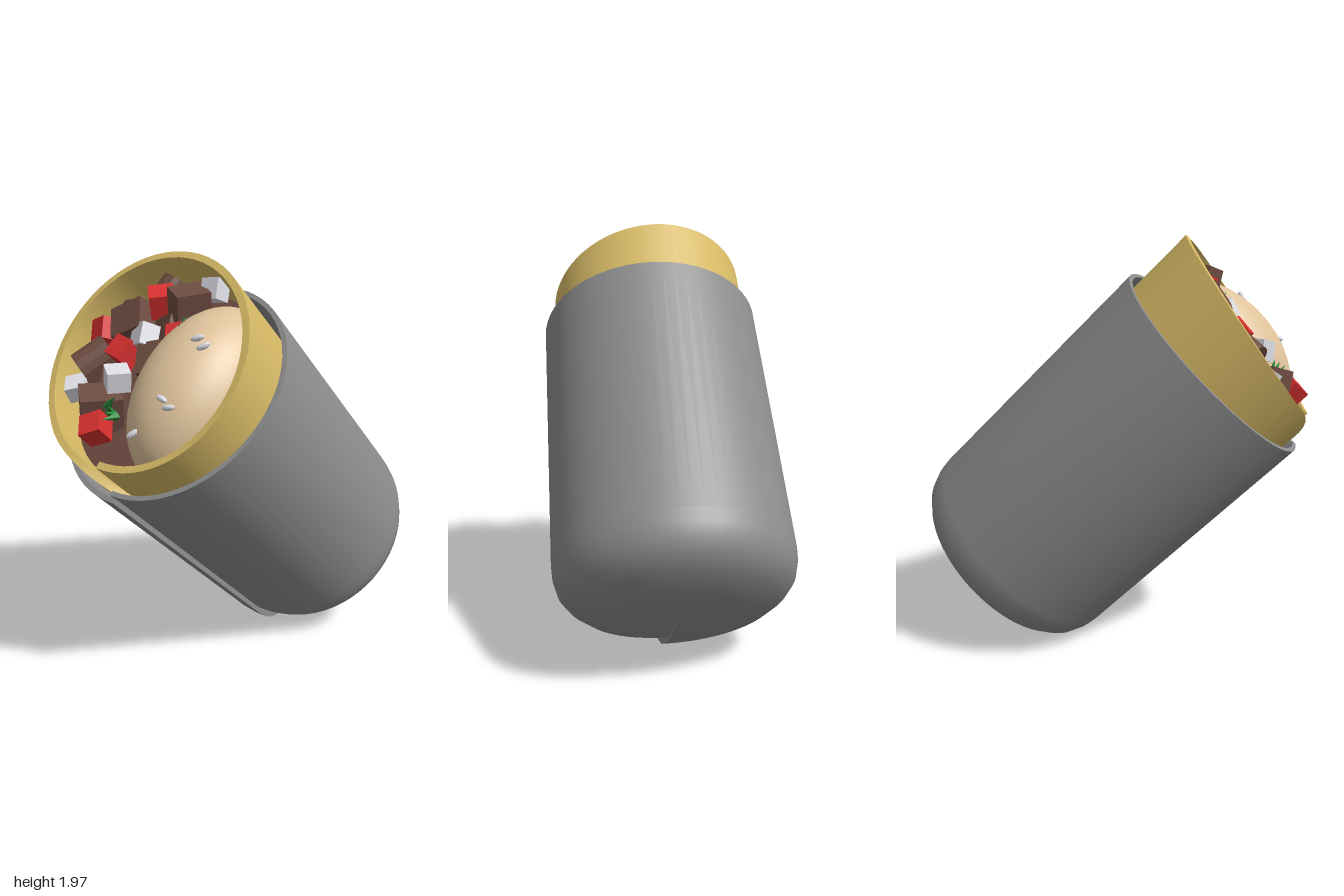
import * as THREE from 'three';
import { toCreasedNormals } from 'three/addons/utils/BufferGeometryUtils.js';

const mat = (name, color, flatShading = false) => {
  const m = new THREE.MeshStandardMaterial({ color, flatShading });
  m.name = name;
  return m;
};

// Sweeps a closed cross-section around the axis; loop(angle) gives [radius, y]
// points, first half going up the outside, second half coming down the inside.
function wrapSheet(loop, end, steps) {
  const pos = [], idx = [];
  let n = 0;
  for (let i = 0; i <= steps; i++) {
    const a = (end * i) / steps;
    const pts = loop(a);
    n = pts.length;
    for (const [r, y] of pts) pos.push(r * Math.sin(a), y, r * Math.cos(a));
  }
  const quad = (a, b, c, d) => idx.push(a, b, c, a, c, d);
  for (let i = 0; i < steps; i++) {
    for (let j = 0; j < n; j++) {
      const k = (j + 1) % n;
      quad(i * n + j, (i + 1) * n + j, (i + 1) * n + k, i * n + k);
    }
  }
  // End faces along the seam
  const e = steps * n;
  for (let j = 0; j < n / 2 - 1; j++) {
    quad(j, j + 1, n - 2 - j, n - 1 - j);
    quad(e + n - 1 - j, e + n - 2 - j, e + j + 1, e + j);
  }
  const g = new THREE.BufferGeometry();
  g.setAttribute('position', new THREE.Float32BufferAttribute(pos, 3));
  g.setIndex(idx);
  return toCreasedNormals(g, 0.6);
}

export function createModel() {
  const foil = mat('foil grey', 0x8c8c8c);
  const tortilla = mat('tortilla yellow', 0xd6b966);
  const paste = mat('paste beige', 0xdec29b);
  const meat = mat('meat brown', 0x6d4c41, true);
  const tomato = mat('tomato red', 0xd83030, true);
  const onion = mat('onion white', 0xdcdce4, true);
  const herb = mat('herb green', 0x2a8a3a, true);

  const model = new THREE.Group();
  const roll = new THREE.Group();
  roll.name = 'wrappedRoll';
  model.add(roll);
  const add = (name, geometry, material, x = 0, y = 0, z = 0) => {
    const m = new THREE.Mesh(geometry, material);
    m.name = name;
    m.position.set(x, y, z);
    roll.add(m);
    return m;
  };

  // Foil: a spiral sheet with a rounded closed bottom
  const foilProfile = [[0.001, -0.92], [0.28, -0.905], [0.42, -0.86], [0.485, -0.815],
    [0.525, -0.765], [0.545, -0.7], [0.55, -0.64], [0.55, 0.65]];
  const foilLoop = (a) => {
    const f = a / (Math.PI * 2);
    const s = 0.975 + 0.05 * f;
    const outer = foilProfile.map(([r, y]) => [r * s, y < 0 ? y - 0.03 * f * (r / 0.55) : y]);
    const inner = outer.map(([r, y], i) =>
      [Math.max(r - 0.022, 0.001), i === outer.length - 1 ? y : y + 0.022]).reverse();
    return [...outer, ...inner];
  };
  add('foilWrap', wrapSheet(foilLoop, Math.PI * 2 + 0.08, 64), foil);

  // Tortilla: a spiral sheet with a slanted rim, its outer flap curving down at the seam
  const tortillaEnd = Math.PI * 2 + 0.05;
  const tortillaLoop = (a) => {
    const r = 0.482 + 0.035 * (a / (Math.PI * 2));
    let top = 0.872 - 0.16 * r * Math.cos(a) - 0.076 * r * Math.sin(a);
    const drop = Math.max(0, (a - (tortillaEnd - 0.7)) / 0.7);
    top -= 0.22 * drop * drop;
    return [[r, 0.3], [r, top], [r - 0.032, top], [r - 0.032, 0.3]];
  };
  add('tortilla', wrapSheet(tortillaLoop, tortillaEnd, 64), tortilla);

  // Filling bed and the mound of paste on one side
  add('fillingBed', new THREE.CylinderGeometry(0.47, 0.47, 0.3, 40), meat, 0, 0.54, 0);
  const mound = { x: 0.18, y: 0.65, rx: 0.27, ry: 0.285, rz: 0.42 };
  add('pasteMound', new THREE.SphereGeometry(1, 36, 20), paste, mound.x, mound.y, 0)
    .scale.set(mound.rx, mound.ry, mound.rz);

  // Chunks: [x, y, z, size, turn]
  const box = (w, h, d) => new THREE.BoxGeometry(w, h, d);
  const scatter = (name, list, shape, material) => list.forEach(([x, y, z, s, turn]) => {
    const m = add(name, shape, material, x, y, z);
    m.scale.setScalar(s);
    m.rotation.set(0.35 * Math.sin(turn * 5), turn, 0.4 * Math.cos(turn * 3));
  });
  scatter('meatCube', [
    [-0.22, 0.83, -0.18, 0.17, 0.5], [0.03, 0.85, -0.31, 0.15, 1.1],
    [-0.03, 0.79, -0.04, 0.14, 2.0], [-0.2, 0.77, 0.22, 0.18, 0.9],
    [-0.05, 0.77, -0.2, 0.14, 0.2], [-0.3, 0.76, 0.1, 0.14, 1.6],
  ], box(1, 0.9, 0.85), meat);
  const log = new THREE.CylinderGeometry(0.5, 0.5, 1, 14);
  [[-0.34, 0.82, 0.03, 0.16, 0.4], [-0.17, 0.81, -0.37, 0.13, 1.2], [-0.31, 0.79, -0.22, 0.13, 2.2]]
    .forEach(([x, y, z, s, turn]) => {
      const m = add('meatSlice', log, meat, x, y, z);
      m.scale.setScalar(s);
      m.rotation.set(1.2, turn, 0.5);
    });
  scatter('tomatoCube', [
    [-0.36, 0.84, -0.11, 0.1, 0.3], [-0.13, 0.85, -0.3, 0.11, 0.8],
    [-0.18, 0.84, -0.03, 0.1, 1.4], [-0.1, 0.82, 0.33, 0.1, 0.6],
    [0.06, 0.83, -0.16, 0.09, 2.1],
  ], box(1, 1, 1), tomato);
  scatter('onionCube', [
    [-0.345, 0.82, 0.18, 0.09, 0.7], [-0.107, 0.85, -0.12, 0.095, 0.2],
    [-0.116, 0.85, 0.1, 0.1, 1.0], [0.1, 0.83, -0.41, 0.09, 1.7],
  ], box(1, 0.9, 1), onion);

  // Herb sprigs: small fans of leaflets
  [[-0.06, 0.84, 0.24], [0.08, 0.86, -0.17]].forEach(([x, y, z], k) => {
    for (let i = 0; i < 5; i++) {
      const leaf = add('herbLeaf', new THREE.ConeGeometry(0.018, 0.09, 4), herb,
        x + 0.012 * (i - 2), y, z + 0.018 * (i - 2));
      leaf.rotation.set(0.35 * (i - 2), k, -0.9 + 0.2 * i);
    }
  });

  // Rice grains lying on the mound: [x, z, turn]
  [[0.255, -0.125, 0.5], [0.295, -0.1, 0.7], [0.25, 0.16, -0.2], [0.285, 0.18, 0.3],
    [0.14, 0.31, 0.9]].forEach(([x, z, turn]) => {
    const u = (x - mound.x) / mound.rx, v = z / mound.rz;
    const y = mound.y + mound.ry * Math.sqrt(1 - u * u - v * v);
    const grain = add('riceGrain', new THREE.SphereGeometry(1, 12, 8), onion, x, y + 0.008, z);
    grain.scale.set(0.032, 0.013, 0.013);
    grain.rotation.y = turn;
  });

  // Lean the whole roll over 45 degrees
  const side = new THREE.Vector3(Math.SQRT1_2, 0, Math.SQRT1_2);
  const axis = new THREE.Vector3(-0.5, Math.SQRT1_2, 0.5);
  const under = new THREE.Vector3().crossVectors(side, axis);
  roll.quaternion.setFromRotationMatrix(new THREE.Matrix4().makeBasis(side, axis, under));
  roll.position.set(0, 0.96, 0);
  return model;
}
